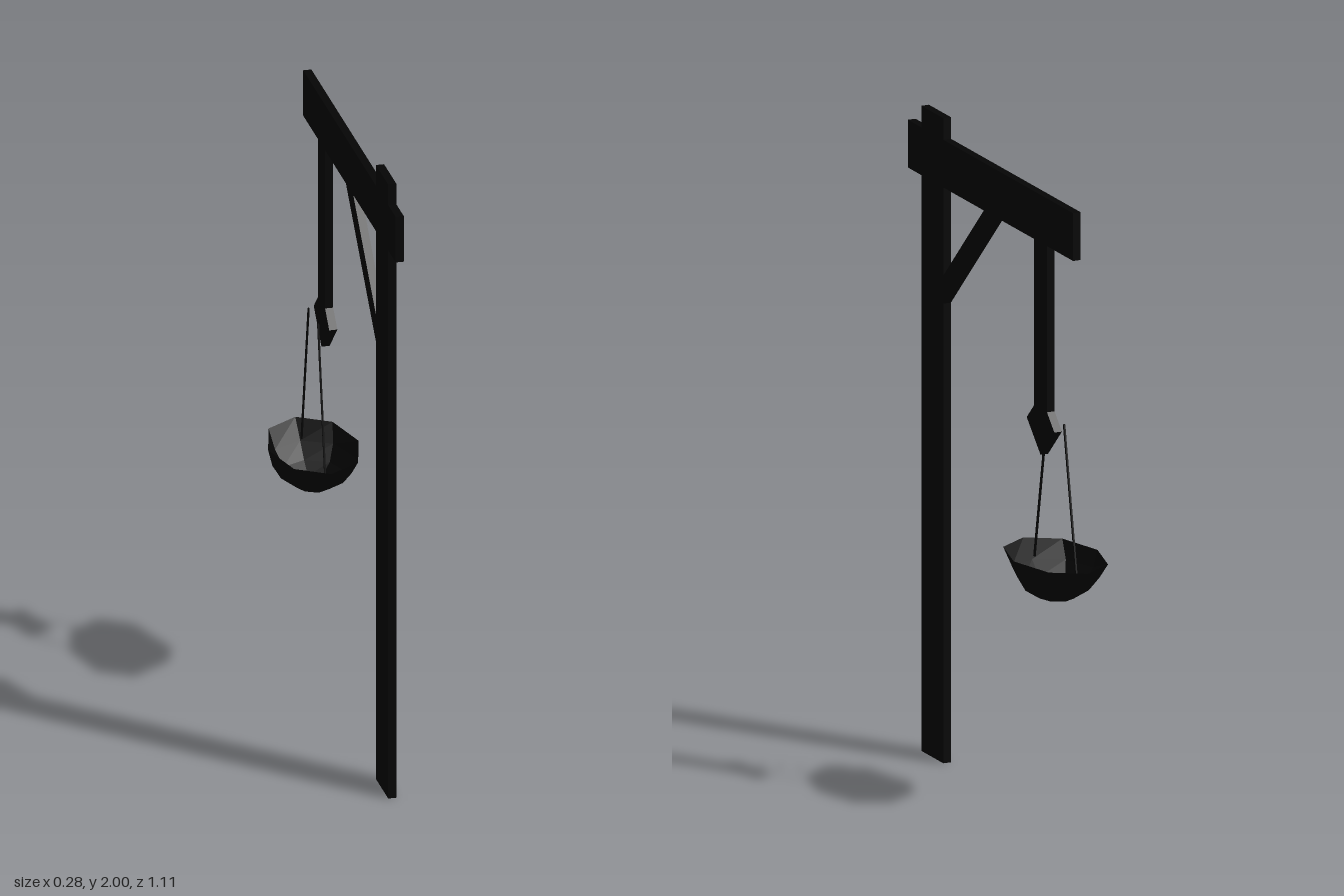
import * as THREE from 'three';

const material = new THREE.MeshStandardMaterial({ color: 0x050505, flatShading: true, side: THREE.DoubleSide });

function addMesh(parent, name, geometry) {
  const mesh = new THREE.Mesh(geometry, material);
  mesh.name = name;
  parent.add(mesh);
  return mesh;
}

// Flat board cut from a (z, y) outline, spanning x = 0.025 to 0.05
function board(points) {
  const shape = new THREE.Shape(points.map(([z, y]) => new THREE.Vector2(z, y)));
  return new THREE.ExtrudeGeometry(shape, { depth: 0.025, bevelEnabled: false })
    .rotateY(-Math.PI / 2)
    .translate(0.05, 0, 0);
}

const rectangle = (z0, z1, y0, y1) => board([[z0, y0], [z1, y0], [z1, y1], [z0, y1]]);

// Eight-sided oval bowl: each ring has its own half width (x) and half length (z)
function bowlGeometry() {
  const rings = [[0, 0, 0.682], [0.053, 0.065, 0.682], [0.1, 0.112, 0.712], [0.126, 0.158, 0.756], [0.139, 0.217, 0.808]];
  const geometry = new THREE.LatheGeometry(rings.map(([rx, , y]) => new THREE.Vector2(rx, y)), 8);
  const pos = geometry.attributes.position;
  for (let i = 0; i < pos.count; i++) {
    const [rx, rz] = rings[i % rings.length];
    if (rx > 0) pos.setZ(i, pos.getZ(i) * rz / rx);
  }
  geometry.computeVertexNormals();
  return geometry;
}

export function createModel() {
  const model = new THREE.Group();
  model.name = 'hangingBowlStand';

  // Timber frame
  addMesh(model, 'post', rectangle(0.317, 0.465, 0, 2));
  addMesh(model, 'crossbeam', rectangle(-0.555, 0.555, 1.785, 1.933));
  addMesh(model, 'brace', board([[0.317, 1.425], [0.317, 1.513], [0.045, 1.785], [-0.043, 1.785]]));

  // Hanger with diamond block
  const hangZ = -0.336;
  addMesh(model, 'hanger', rectangle(hangZ - 0.043, hangZ + 0.043, 1.22, 1.785));
  const d = 0.093;
  addMesh(model, 'diamondBlock', board([[hangZ, 1.22 - d], [hangZ + d, 1.22], [hangZ, 1.22 + d], [hangZ - d, 1.22]]));

  // Bowl and its two cords
  addMesh(model, 'bowl', bowlGeometry()).position.z = hangZ;
  for (const side of [-1, 1]) {
    const top = new THREE.Vector3(0, 1.23, hangZ + side * 0.057);
    const bottom = new THREE.Vector3(0, 0.77, hangZ + side * 0.142);
    const cord = addMesh(model, 'cord', new THREE.BoxGeometry(0.005, top.distanceTo(bottom), 0.007));
    cord.position.copy(top).add(bottom).multiplyScalar(0.5);
    cord.rotation.x = Math.atan2(top.z - bottom.z, top.y - bottom.y);
  }
  return model;
}
